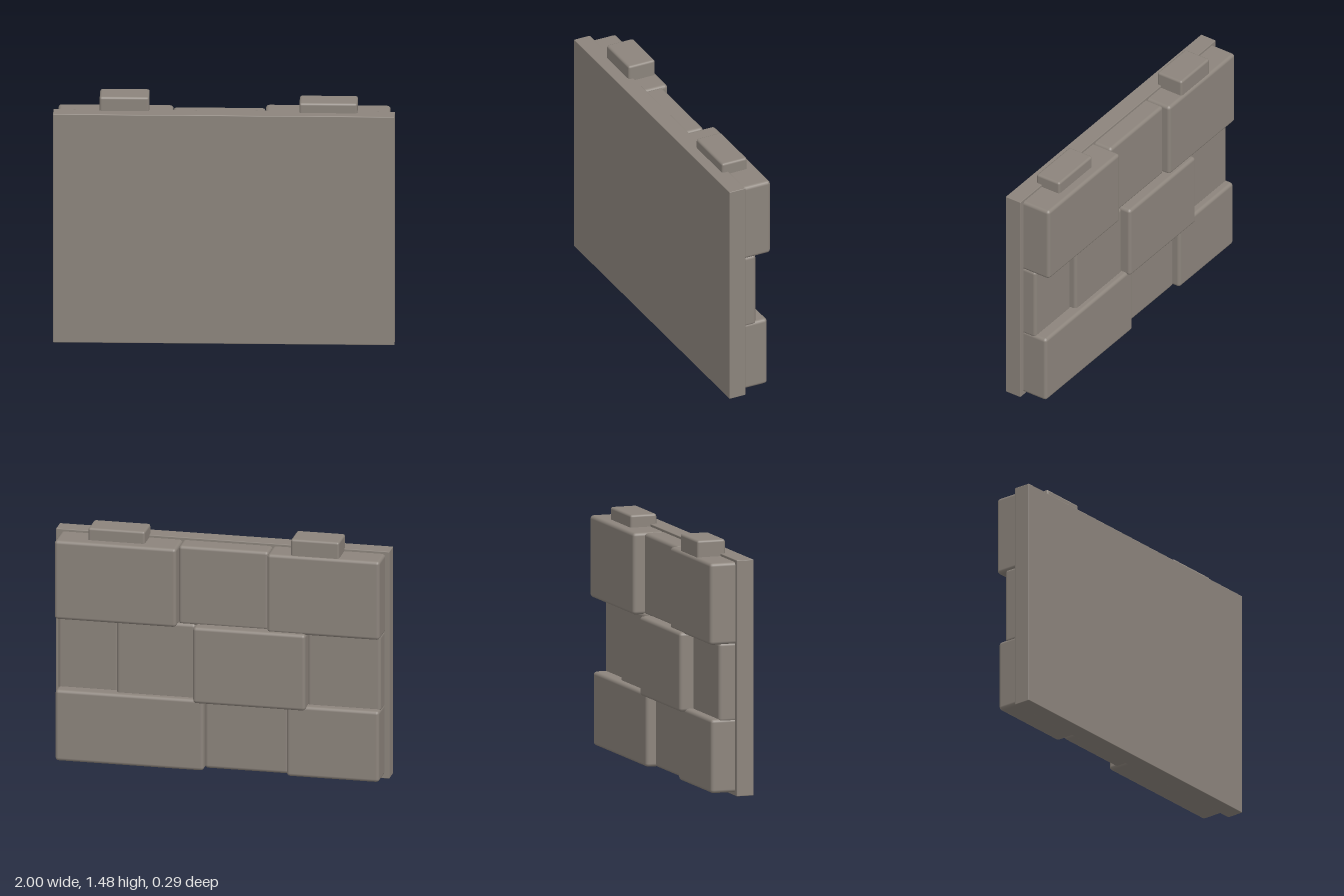
import * as THREE from 'three';
import { RoundedBoxGeometry } from 'three/addons/geometries/RoundedBoxGeometry.js';

const PANEL_BACK = 0.04;

export function createModel() {
  const group = new THREE.Group();
  const stone = new THREE.MeshStandardMaterial({ color: 0x8c847c });

  // Softly bevelled block given by its limits on each axis
  function block(name, [x0, x1], [y0, y1], [z0, z1], bevel = 0.02) {
    const geometry = new RoundedBoxGeometry(x1 - x0, y1 - y0, z1 - z0, 2, bevel);
    const mesh = new THREE.Mesh(geometry, stone);
    mesh.position.set((x0 + x1) / 2, (y0 + y1) / 2, (z0 + z1) / 2);
    mesh.name = name;
    group.add(mesh);
  }

  // Flat wall slab
  block('wallPanel', [-1, 1], [0, 1.4], [PANEL_BACK, 0.145], 0.004);

  // Courses of stones on the back: [x from, x to, z of the outer face]
  const courses = [
    { name: 'bottomStone', y: [0.02, 0.458], stones: [
      [-0.97, -0.415, -0.108], [-0.42, 0.085, -0.065], [0.08, 0.97, -0.122]] },
    { name: 'middleStone', y: [0.44, 0.91], stones: [
      [-0.97, -0.53, -0.06], [-0.535, 0.14, -0.143], [0.135, 0.61, -0.084], [0.605, 0.97, -0.047]] },
    { name: 'topStone', y: [0.9, 1.385], stones: [
      [-0.975, -0.3, -0.117], [-0.3, 0.24, -0.076], [0.24, 0.97, -0.143]] },
  ];
  for (const { name, y, stones } of courses) {
    stones.forEach(([x0, x1, z], i) => {
      block(name + (i + 1), [x0, x1], y, [z, PANEL_BACK + 0.025]);
    });
  }

  // Loose cap stones on the top edge
  block('rightCapStone', [-0.73, -0.44], [1.36, 1.484], [-0.105, 0.07], 0.014);
  block('leftCapStone', [0.44, 0.78], [1.36, 1.459], [-0.085, 0.08], 0.014);

  return group;
}
